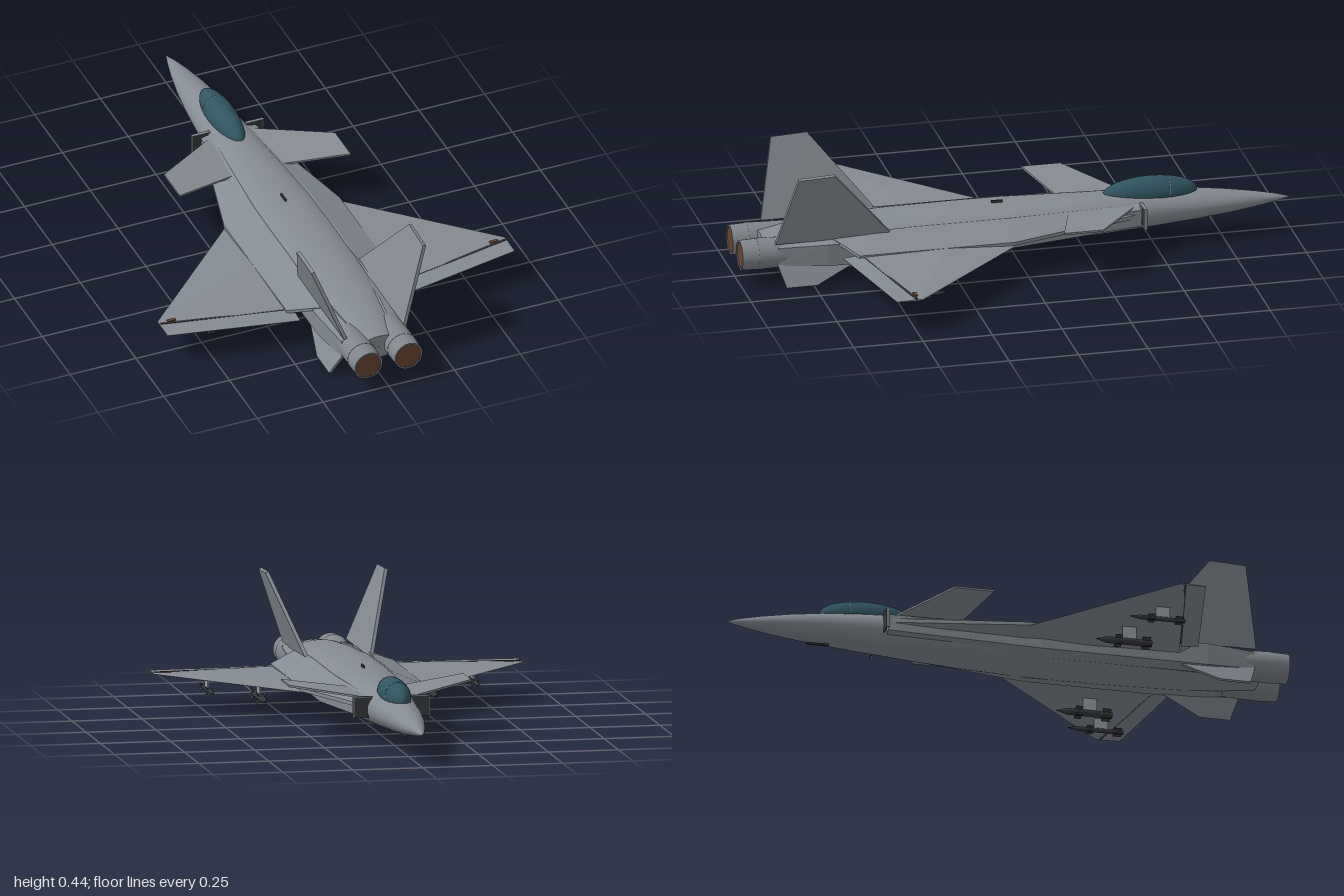
import * as THREE from 'three';
import { ConvexGeometry } from 'three/addons/geometries/ConvexGeometry.js';

const mat = (name, color, extra = {}) => {
  const m = new THREE.MeshStandardMaterial({ color, ...extra });
  m.name = name;
  return m;
};

export function createModel() {
  const body = mat('airframe grey', 0x858b92);
  const pale = mat('pale grey', 0x9a9fa4);
  const dark = mat('dark grey', 0x35383b);
  const glass = mat('canopy glass', 0x2f5560);
  const rust = mat('exhaust brown', 0x68432e);
  const metal = mat('nozzle grey', 0x80868c, { side: THREE.DoubleSide });

  const jet = new THREE.Group();
  jet.name = 'fighterJet';
  const add = (name, geo, material, parent = jet) => {
    const m = new THREE.Mesh(geo, material);
    m.name = name;
    parent.add(m);
    return m;
  };
  const V = (x, y, z) => new THREE.Vector3(x, y, z);
  // Solid hull around points, mirrored by s
  const hull = (s, pts) => new ConvexGeometry(pts.map(p => V(p[0] * s, p[1], p[2])));
  // Flat plate: [x, y, z] outline thickened along direction d
  const plate = (s, pts, d) => hull(s, pts.flatMap(p => [1, -1].map(k => p.map((v, i) => v + k * d[i]))));
  const box = (name, w, h, d, x, y, z, material, parent) =>
    add(name, new THREE.BoxGeometry(w, h, d).translate(x, y, z), material, parent);
  // Cylinder running along z, r1 at the rear end
  const tubeZ = (r1, r2, len, x, y, z, seg = 32, open = false) =>
    new THREE.CylinderGeometry(r1, r2, len, seg, 1, open).rotateX(Math.PI / 2).translate(x, y, z);

  // Fuselage stations: z, half width, top, bottom, squareness
  const stations = [
    [-1, 0.001, 0.116, 0.114, 2], [-0.95, 0.016, 0.13, 0.104, 2], [-0.88, 0.033, 0.144, 0.093, 2],
    [-0.78, 0.052, 0.16, 0.08, 2], [-0.66, 0.068, 0.175, 0.069, 2], [-0.5, 0.082, 0.185, 0.058, 2.1],
    [-0.33, 0.098, 0.188, 0.049, 2.2], [-0.15, 0.118, 0.188, 0.044, 2.3], [0.03, 0.132, 0.19, 0.043, 2.4],
    [0.2, 0.136, 0.19, 0.044, 2.4], [0.45, 0.134, 0.188, 0.047, 2.4], [0.65, 0.122, 0.18, 0.051, 2.4],
    [0.8, 0.1, 0.17, 0.056, 2.3], [0.91, 0.072, 0.155, 0.064, 2.2],
    [0.91, 0.072, 0.155, 0.064, 2.2], [0.91, 0.0005, 0.111, 0.109, 2]
  ];
  const N = 40, pos = [], idx = [];
  const pw = (v, e) => Math.sign(v) * Math.abs(v) ** (2 / e);
  stations.forEach(([z, w, t, b, e], i) => {
    for (let j = 0; j < N; j++) {
      const a = j / N * Math.PI * 2;
      pos.push(w * pw(Math.cos(a), e), (t + b) / 2 + (t - b) / 2 * pw(Math.sin(a), e), z);
      if (i === 0) continue;
      const k = (j + 1) % N, p = (i - 1) * N, q = i * N;
      idx.push(p + j, p + k, q + j, p + k, q + k, q + j);
    }
  });
  const fuselage = new THREE.BufferGeometry();
  fuselage.setAttribute('position', new THREE.Float32BufferAttribute(pos, 3));
  fuselage.setIndex(idx);
  fuselage.computeVertexNormals();
  add('fuselage', fuselage, body);

  // Canopy with its frame bow
  add('canopy', new THREE.SphereGeometry(1, 40, 24).scale(0.05, 0.058, 0.17).translate(0, 0.18, -0.495), glass);
  add('canopyFrame', new THREE.TorusGeometry(1, 0.012, 6, 32, Math.PI).scale(0.0465, 0.0542, 0.1).translate(0, 0.18, -0.56), pale);

  // Spine antenna and chin probe
  box('spineAntenna', 0.006, 0.014, 0.04, 0, 0.192, 0.055, dark);
  box('chinProbe', 0.008, 0.006, 0.08, 0, 0.062, -0.67, dark);
  box('chinProbeMount', 0.006, 0.02, 0.02, 0, 0.071, -0.64, dark);

  for (const s of [1, -1]) {
    const side = new THREE.Group();
    side.name = s > 0 ? 'leftSide' : 'rightSide';
    jet.add(side);
    const part = (name, geo, m = body) => add(name, geo, m, side);

    // Engine trunk along the fuselage flank
    part('engineTrunk', hull(s, [
      [0.06, 0.165, -0.44], [0.105, 0.155, -0.44], [0.105, 0.095, -0.44], [0.06, 0.085, -0.44],
      [0.09, 0.168, 0.1], [0.145, 0.14, 0.1], [0.143, 0.065, 0.1], [0.09, 0.055, 0.1],
      [0.09, 0.165, 0.7], [0.145, 0.145, 0.7], [0.143, 0.065, 0.7], [0.09, 0.058, 0.7],
      [0.07, 0.155, 0.87], [0.125, 0.14, 0.87], [0.125, 0.075, 0.87], [0.07, 0.065, 0.87]
    ]));
    // Intake mouth and lip
    box('intakeMouth', 0.062, 0.07, 0.004, s * 0.102, 0.13, -0.45, dark, side);
    box('intakeLipTop', 0.068, 0.004, 0.012, s * 0.102, 0.167, -0.448, body, side);
    box('intakeLipSide', 0.004, 0.076, 0.012, s * 0.135, 0.13, -0.448, body, side);

    // Shoulder blending into the wing
    part('wingShoulder', hull(s, [
      [0.07, 0.162, -0.43], [0.105, 0.14, -0.43], [0.105, 0.125, -0.43], [0.07, 0.115, -0.43],
      [0.11, 0.17, 0.04], [0.22, 0.124, 0.04], [0.22, 0.112, 0.04], [0.11, 0.095, 0.04],
      [0.11, 0.17, 0.5], [0.22, 0.124, 0.6], [0.22, 0.112, 0.6], [0.11, 0.095, 0.6],
      [0.11, 0.16, 0.68], [0.14, 0.14, 0.66]
    ]));

    // Delta wing, thickest ahead of the hinge line
    part('wing', hull(s, [
      [0.13, 0.108, -0.05], [0.13, 0.124, 0.25], [0.13, 0.093, 0.25], [0.13, 0.117, 0.6], [0.13, 0.099, 0.6],
      [0.66, 0.119, 0.48], [0.66, 0.122, 0.492], [0.66, 0.116, 0.492], [0.66, 0.121, 0.5], [0.66, 0.117, 0.5]
    ]));
    part('flap', hull(s, [
      [0.19, 0.116, 0.593], [0.19, 0.101, 0.593], [0.66, 0.122, 0.503], [0.66, 0.116, 0.503],
      [0.19, 0.109, 0.655], [0.66, 0.119, 0.572], [0.19, 0.107, 0.655], [0.66, 0.118, 0.572]
    ]));
    part('flapHinge', plate(s, [
      [0.2, 0.1105, 0.582], [0.655, 0.12, 0.495], [0.655, 0.12, 0.504], [0.2, 0.1105, 0.591]
    ], [0, 0.0045, 0]), dark);
    box('wingtipLight', 0.032, 0.009, 0.012, s * 0.613, 0.121, 0.495, rust, side);

    // Foreplane
    part('canard', plate(s, [
      [0.08, 0.157, -0.42], [0.325, 0.181, -0.25], [0.325, 0.181, -0.11], [0.08, 0.157, -0.182]
    ], [0, 0.0035, 0]));

    // Canted tail fin and ventral fin
    part('tailFin', plate(s, [
      [0.113, 0.155, 0.46], [0.213, 0.433, 0.69], [0.212, 0.427, 0.82], [0.113, 0.155, 0.88]
    ], [0.006, -0.002, 0]));
    part('ventralFin', plate(s, [
      [0.12, 0.08, 0.56], [0.16, 0.003, 0.74], [0.16, 0.002, 0.85], [0.12, 0.08, 0.875]
    ], [0.004, 0.002, 0]));

    // Engine nozzle
    const nx = s * 0.076, ny = 0.108;
    part('nozzleCollar', tubeZ(0.056, 0.052, 0.14, nx, ny, 0.87), metal);
    part('nozzle', tubeZ(0.053, 0.055, 0.06, nx, ny, 0.97, 32, true), metal);
    part('nozzleRim', new THREE.RingGeometry(0.047, 0.053, 32).translate(nx, ny, 1), metal);
    part('exhaust', new THREE.CircleGeometry(0.048, 32).translate(nx, ny, 0.996), rust);

    // Underwing stores: x, y, radius, middle z, wing underside y
    for (const [x, y, r, z, top] of [[0.305, 0.045, 0.012, 0.36, 0.105], [0.475, 0.064, 0.008, 0.44, 0.114]]) {
      const store = new THREE.Group();
      store.name = 'missile';
      side.add(store);
      add('missileBody', tubeZ(r, r, 0.16, s * x, y, z + 0.02, 12), dark, store);
      add('missileNose', tubeZ(r, 0.001, 0.04, s * x, y, z - 0.08, 12), dark, store);
      for (const [fz, len] of [[z + 0.08, 0.03], [z - 0.02, 0.025]]) {
        for (const a of [Math.PI / 4, -Math.PI / 4]) {
          add('missileFin', new THREE.BoxGeometry(r * 4, 0.003, len).rotateZ(a).translate(s * x, y, fz), dark, store);
        }
      }
      box('pylon', 0.006, top - y, 0.05, s * x, (top + y) / 2, z + 0.02, pale, store);
    }
  }
  return jet;
}
